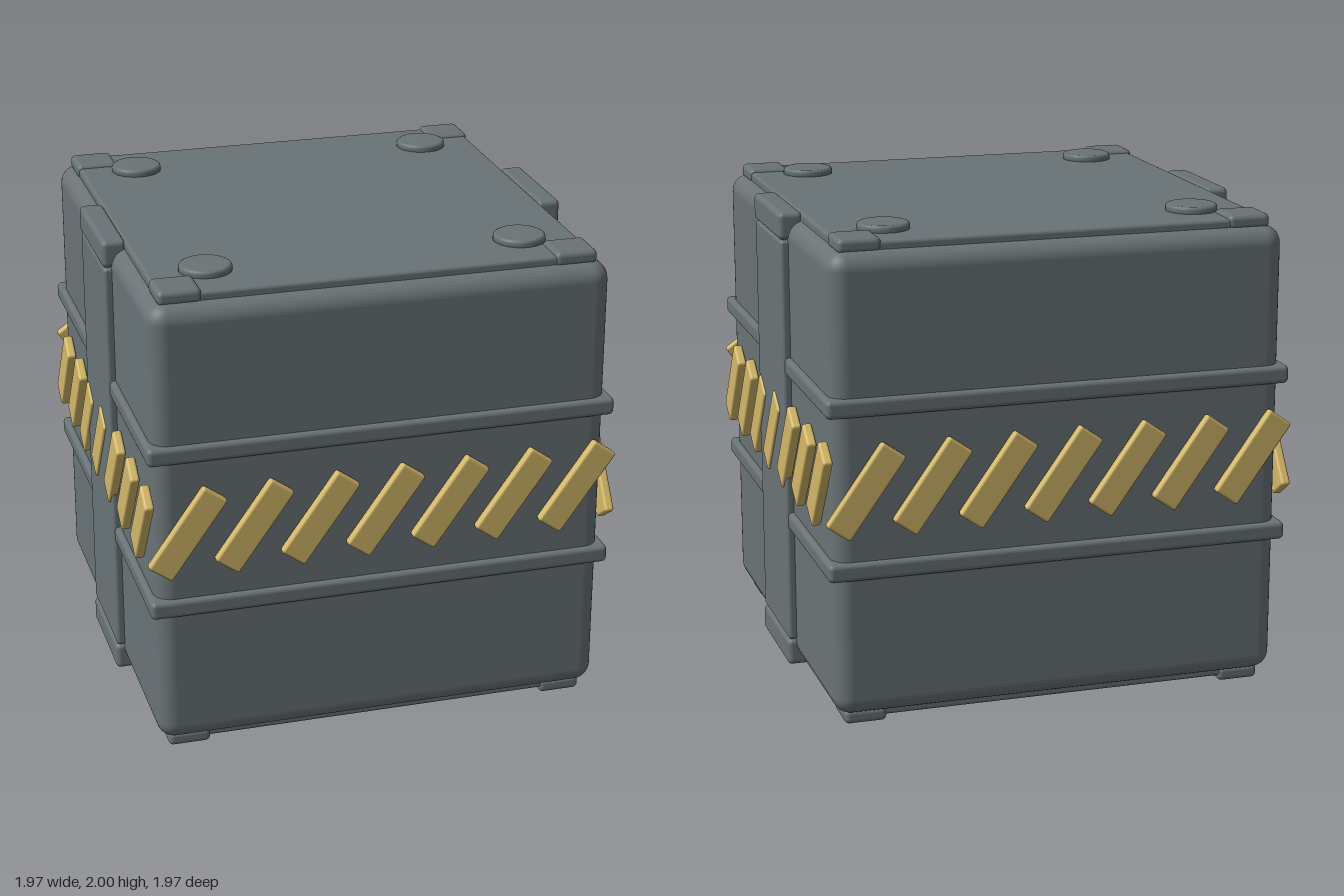
import * as THREE from 'three';
import { RoundedBoxGeometry } from 'three/addons/geometries/RoundedBoxGeometry.js';

export function createModel() {
  const model = new THREE.Group();
  model.name = 'crate';
  const steel = new THREE.MeshStandardMaterial({ color: 0x697376 });
  steel.name = 'steel grey';
  const hazard = new THREE.MeshStandardMaterial({ color: 0xd3b768 });
  hazard.name = 'hazard yellow';

  const box = (name, size, pos, radius, material = steel, parent = model) => {
    const mesh = new THREE.Mesh(new RoundedBoxGeometry(...size, 4, radius), material);
    mesh.name = name;
    mesh.position.set(...pos);
    parent.add(mesh);
    return mesh;
  };

  // Main body with raised lid and base panels
  box('body', [1.88, 1.89, 1.89], [0, 0.995, 0], 0.075);
  box('lidPanel', [1.77, 0.08, 1.77], [0, 1.932, 0], 0.015);
  box('basePanel', [1.77, 0.08, 1.77], [0, 0.063, 0], 0.015);

  // Two ribs running round the body
  for (const y of [0.667, 1.333]) box('rib', [1.93, 0.075, 1.935], [0, y, 0], 0.02);

  // Side straps with end caps
  for (const s of [-1, 1]) {
    box('strap', [0.09, 1.72, 0.485], [s * 0.928, 1, 0], 0.015);
    box('topCap', [0.1, 0.114, 0.485], [s * 0.928, 1.917, 0], 0.022);
    box('bottomCap', [0.1, 0.114, 0.485], [s * 0.928, 0.083, 0], 0.022);
  }

  // Corner pads above and below, and round studs on the lid
  const studProfile = [[0, 0], [0.106, 0], [0.106, 0.035], [0.102, 0.044], [0.094, 0.048], [0, 0.048]]
    .map(([x, y]) => new THREE.Vector2(x, y));
  const studGeometry = new THREE.LatheGeometry(studProfile, 40);
  for (const sx of [-1, 1]) {
    for (const sz of [-1, 1]) {
      box('topPad', [0.175, 0.06, 0.175], [sx * 0.805, 1.957, sz * 0.805], 0.022);
      box('foot', [0.175, 0.06, 0.175], [sx * 0.805, 0.03, sz * 0.805], 0.022);
      const stud = new THREE.Mesh(studGeometry, steel);
      stud.name = 'lidStud';
      stud.position.set(sx * 0.648, 1.952, sz * 0.648);
      model.add(stud);
    }
  }

  // Seven slanted hazard bars on each of the four sides
  for (let side = 0; side < 4; side++) {
    const bars = new THREE.Group();
    bars.name = 'hazardBars';
    bars.rotation.y = side * Math.PI / 2;
    for (let i = -3; i <= 3; i++) {
      const bar = box('hazardBar', [0.118, 0.4, 0.04], [i * 0.271, 0.998, 0.963], 0.012, hazard, bars);
      bar.rotation.z = -0.62;
    }
    model.add(bars);
  }
  return model;
}
